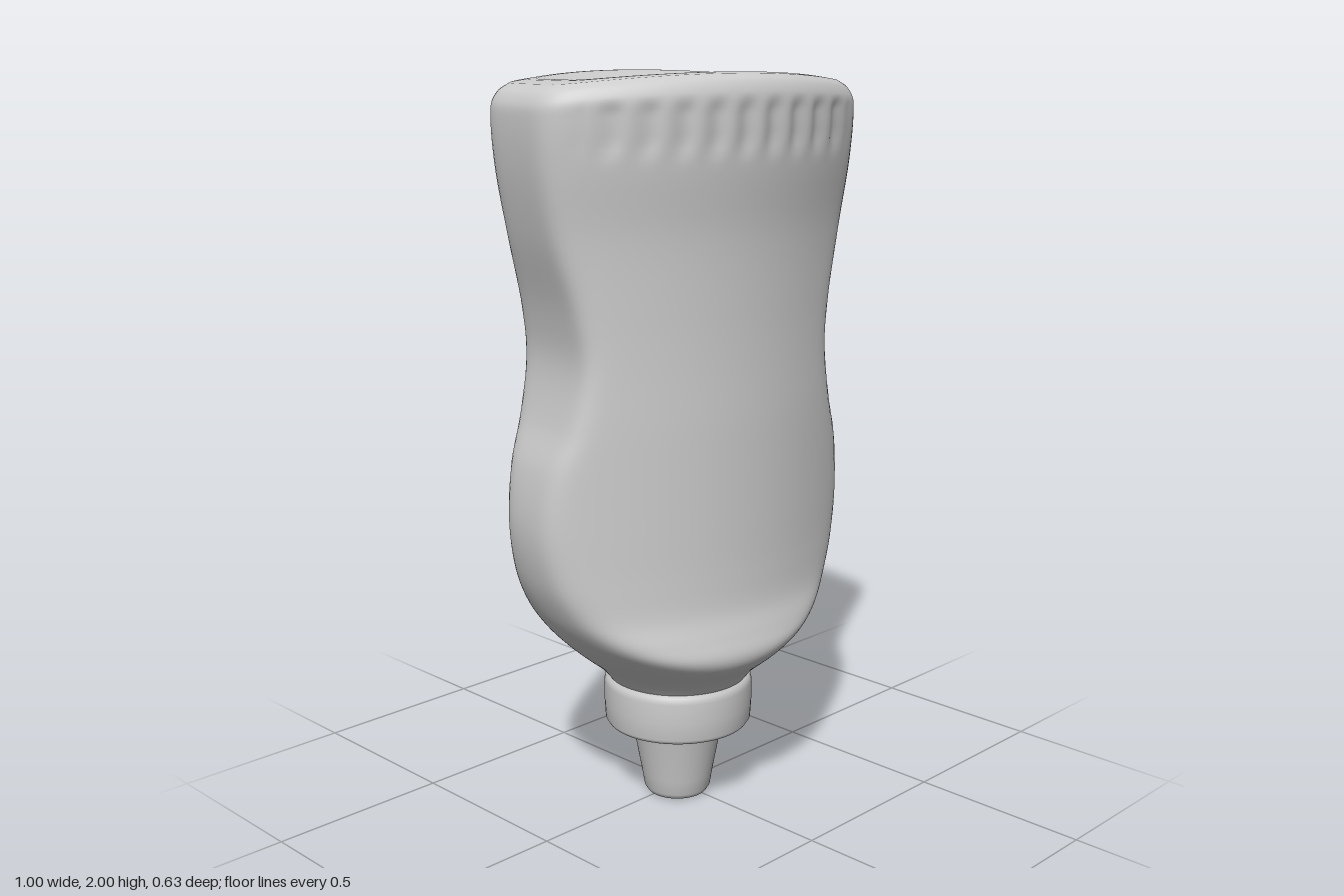
import * as THREE from 'three';

const AROUND = 192, BODY_ROWS = 110, TOP_ROWS = 20;
const material = new THREE.MeshStandardMaterial({ color: 0xcccccc });
const step = THREE.MathUtils.smoothstep;

// half width, height and panel depth of the bottle, from neck to shoulder
const profile = new THREE.CatmullRomCurve3([
  [0.18, 0.34, 0.29], [0.225, 0.395, 0.295], [0.285, 0.445, 0.302], [0.34, 0.495, 0.304],
  [0.385, 0.545, 0.29], [0.427, 0.61, 0.272], [0.467, 0.71, 0.266], [0.486, 0.85, 0.265],
  [0.465, 1.0, 0.265], [0.42, 1.12, 0.265], [0.391, 1.27, 0.263], [0.405, 1.4, 0.264],
  [0.458, 1.6, 0.272], [0.487, 1.76, 0.292], [0.494, 1.88, 0.302], [0.488, 1.945, 0.3],
  [0.472, 1.978, 0.286], [0.44, 1.995, 0.262],
].map(p => new THREE.Vector3(...p)));

// Cross-section: a round (low) or flat-ended (high) core cut by two bowed panels
function sectionRadius(angle, w, y, d) {
  const c = Math.abs(Math.cos(angle)), s = Math.abs(Math.sin(angle));
  const flat = 0.96 * step(y, 0.55, 1.05);
  const core = w / (1 + (c - 1) * flat);
  const panel = depth => 2 * depth / (s + Math.sqrt(s * s + 2.6 * c * c * depth));
  let cut = panel(d);
  // row of shallow flutes under the shoulder
  const u = cut * c;
  const band = step(y, 1.78, 1.84) * (1 - step(y, 1.9, 1.95)) * (1 - step(u, 0.4, 0.44));
  cut = panel(d - 0.009 * band * (0.5 + 0.5 * Math.cos(u * Math.PI * 2 / 0.088)));
  return Math.pow(Math.pow(core, -22) + Math.pow(cut, -22), -1 / 22);
}

function bottleGeometry() {
  const pos = [], index = [];
  const rows = BODY_ROWS + TOP_ROWS;
  for (let i = 0; i <= rows; i++) {
    const p = profile.getPoint(Math.min(1, i / BODY_ROWS));
    const shrink = 1 - Math.max(0, i - BODY_ROWS) / TOP_ROWS;
    const lean = 1 - step(p.y, 0.3, 1.75);
    for (let j = 0; j < AROUND; j++) {
      const a = j / AROUND * Math.PI * 2;
      const r = sectionRadius(a, p.x, p.y, p.z) * shrink;
      const u = r * Math.cos(a), v = r * Math.sin(a);
      // ends of the rim drop a little; the top is dished in the middle
      let y = p.y - 0.028 * (u / 0.46) ** 2 * step(p.y, 1.88, 1.99);
      if (i > BODY_ROWS) y += 0.004 * Math.min(1, (1 - shrink) * 8) - 0.034 * (1 - step(shrink, 0.4, 0.9));
      // turned slightly about the upright axis, leaning towards the neck
      const t = 0.18;
      pos.push(u * Math.cos(t) - v * Math.sin(t) - 0.02 * lean, y,
        u * Math.sin(t) + v * Math.cos(t) + 0.017 * lean);
    }
  }
  for (let i = 0; i < rows; i++) for (let j = 0; j < AROUND; j++) {
    const k = (j + 1) % AROUND, a = i * AROUND + j, b = i * AROUND + k;
    index.push(a, a + AROUND, b);
    if (i < rows - 1) index.push(b, a + AROUND, b + AROUND);
  }
  const g = new THREE.BufferGeometry();
  g.setAttribute('position', new THREE.Float32BufferAttribute(pos, 3));
  g.setIndex(index);
  g.computeVertexNormals();
  return g;
}

export function createModel() {
  const model = new THREE.Group();
  model.name = 'squeezeBottle';
  const add = (name, geometry, x = 0, y = 0, z = 0) => {
    const mesh = new THREE.Mesh(geometry, material);
    mesh.name = name;
    mesh.position.set(x, y, z);
    model.add(mesh);
    return mesh;
  };
  const lathe = pts => new THREE.LatheGeometry(pts.map(p => new THREE.Vector2(...p)), 64);

  add('bottleBody', bottleGeometry());

  // screw collar with rounded edges
  add('capCollar', lathe([[0.12, 0.222], [0.18, 0.216], [0.197, 0.219], [0.204, 0.23], [0.207, 0.28],
    [0.207, 0.335], [0.203, 0.352], [0.192, 0.36], [0.1, 0.362]]), -0.02, 0, 0.017);

  // tapered spout
  add('nozzle', lathe([[0, 0.012], [0.05, 0.008], [0.066, 0], [0.084, 0.004], [0.093, 0.018], [0.1, 0.06],
    [0.122, 0.18], [0.13, 0.21], [0.145, 0.225]]), -0.022, 0, 0.016);

  // small latch bump on the back of the spout
  add('nozzleNub', new THREE.SphereGeometry(0.022, 20, 14), -0.02, 0.11, -0.091).scale.set(1.3, 1, 1);
  return model;
}
